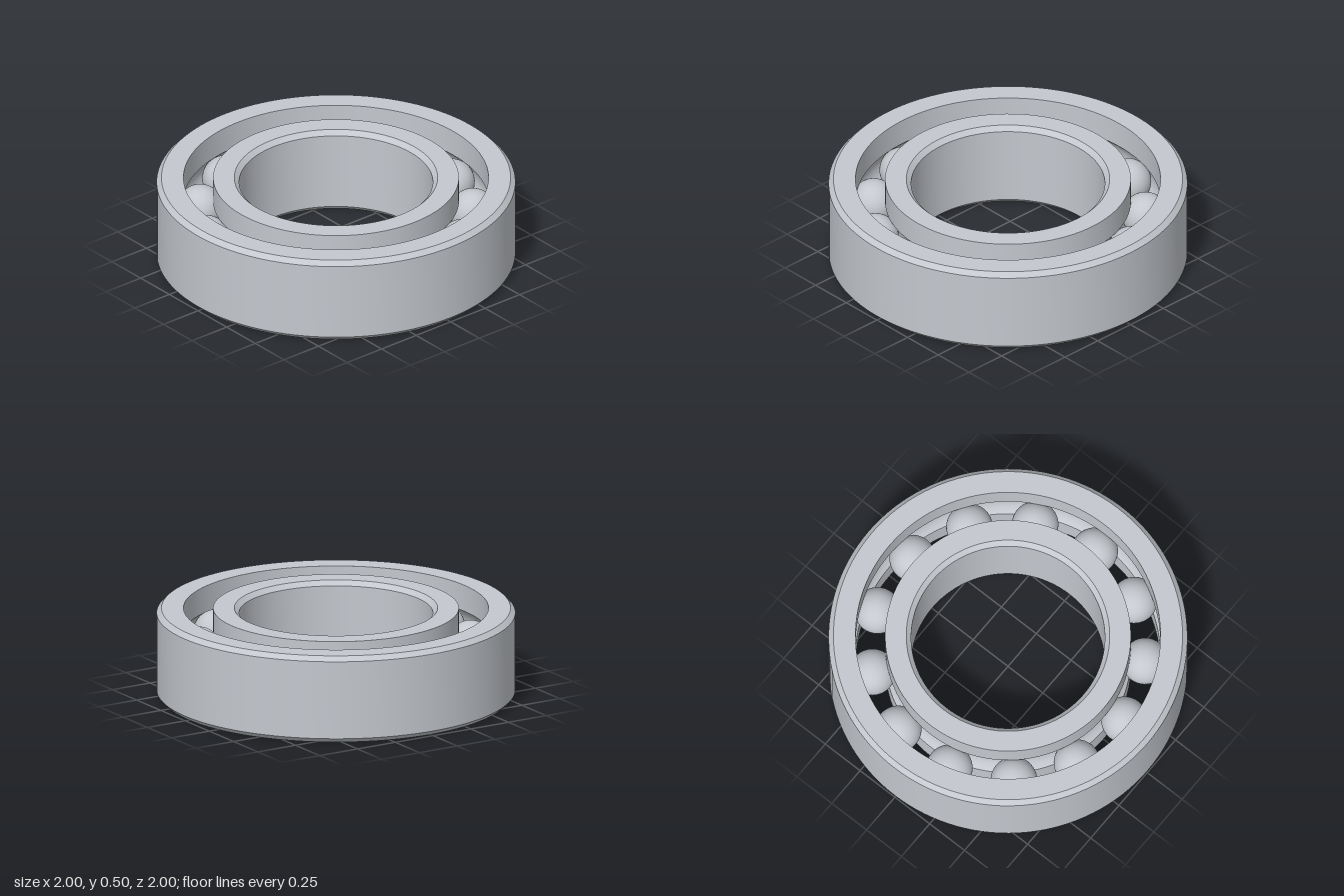
import * as THREE from 'three';
import { toCreasedNormals } from 'three/addons/utils/BufferGeometryUtils.js';

const HEIGHT = 0.5, MID = HEIGHT / 2, CHAMFER = 0.027;
const OUTER_R = 1, OUTER_LIP = 0.85, INNER_LIP = 0.685, BORE_R = 0.54;
const PITCH_R = 0.766, BALL_R = 0.13, BALLS = 13;

// Circular groove section around the ball centre, cut where it meets radius lip
function groove(lip, outward, steps = 14) {
  const half = Math.acos(Math.abs(lip - PITCH_R) / BALL_R);
  const points = [];
  for (let i = 0; i <= steps; i++) {
    const a = half * (1 - (2 * i) / steps);
    points.push([PITCH_R + outward * BALL_R * Math.cos(a), MID + BALL_R * Math.sin(a)]);
  }
  return points; // runs from top to bottom
}

// Revolve a closed counter-clockwise section, keeping its corners sharp
function ring(name, section, material) {
  const points = [...section, section[0]].map(([r, y]) => new THREE.Vector2(r, y));
  const mesh = new THREE.Mesh(toCreasedNormals(new THREE.LatheGeometry(points, 128), Math.PI / 6), material);
  mesh.name = name;
  return mesh;
}

export function createModel() {
  const group = new THREE.Group();
  group.name = 'ballBearing';
  const steel = new THREE.MeshStandardMaterial({ color: 0xc4c8ce });
  steel.name = 'steel';

  // Outer ring: chamfered outside, grooved inside
  group.add(ring('outerRing', [
    [OUTER_R - CHAMFER, 0], [OUTER_R, CHAMFER],
    [OUTER_R, HEIGHT - CHAMFER], [OUTER_R - CHAMFER, HEIGHT],
    [OUTER_LIP, HEIGHT], ...groove(OUTER_LIP, 1), [OUTER_LIP, 0],
  ], steel));

  // Inner ring: grooved outside, chamfered bore
  group.add(ring('innerRing', [
    [INNER_LIP, 0], ...groove(INNER_LIP, -1).reverse(), [INNER_LIP, HEIGHT],
    [BORE_R + CHAMFER, HEIGHT], [BORE_R, HEIGHT - CHAMFER],
    [BORE_R, CHAMFER], [BORE_R + CHAMFER, 0],
  ], steel));

  // Balls evenly spaced in the raceway
  const ballGeometry = new THREE.SphereGeometry(BALL_R, 40, 24);
  for (let i = 0; i < BALLS; i++) {
    const a = (i / BALLS) * Math.PI * 2;
    const ball = new THREE.Mesh(ballGeometry, steel);
    ball.name = `ball${i + 1}`;
    ball.position.set(PITCH_R * Math.cos(a), MID, PITCH_R * Math.sin(a));
    group.add(ball);
  }
  return group;
}
